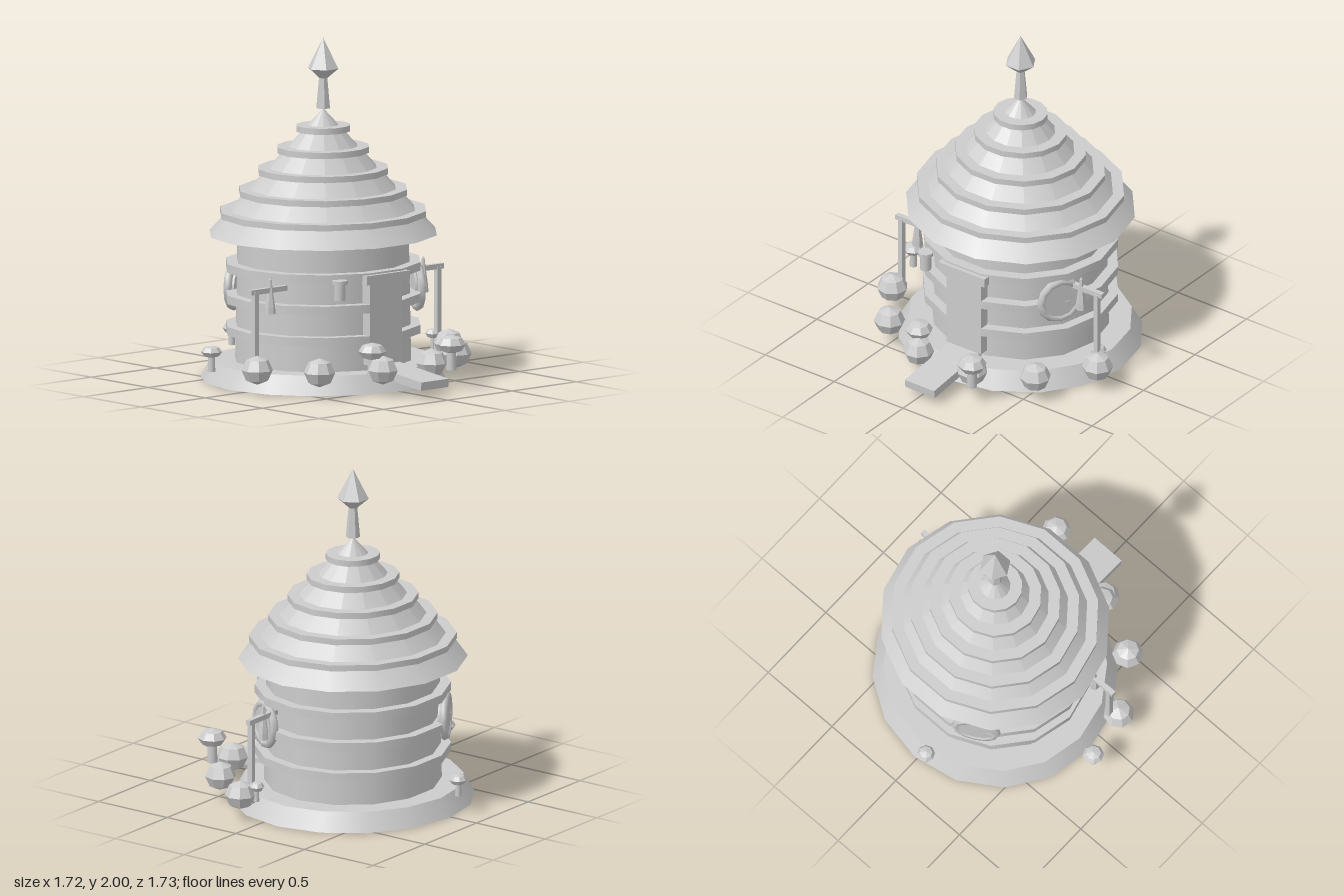
import * as THREE from 'three';

export function createModel() {
  const model = new THREE.Group();
  const plain = new THREE.MeshStandardMaterial({ color: 0xcccccc });
  plain.name = 'plainGrey';

  function add(parent, name, geometry, x = 0, y = 0, z = 0) {
    const mesh = new THREE.Mesh(geometry, plain);
    mesh.name = name;
    mesh.position.set(x, y, z);
    parent.add(mesh);
    return mesh;
  }
  // faceted copy of a geometry
  function facet(geometry) {
    const flat = geometry.toNonIndexed();
    flat.computeVertexNormals();
    return flat;
  }
  // upright tapered drum between two heights, with a corner on the x axis
  function drum(parent, name, rTop, rBottom, y0, y1, sides, x = 0, z = 0) {
    const g = new THREE.CylinderGeometry(rTop, rBottom, y1 - y0, sides, 1, false, Math.PI / 2);
    return add(parent, name, g, x, (y0 + y1) / 2, z);
  }

  // round hut, slightly wider than deep
  const hut = new THREE.Group();
  hut.name = 'hut';
  hut.position.set(0.02, 0, -0.115);
  hut.scale.z = 0.963;
  model.add(hut);
  drum(hut, 'base', 0.665, 0.728, 0, 0.11, 16);
  drum(hut, 'wall', 0.516, 0.53, 0.1, 0.86, 14);
  for (const y of [0.27, 0.455, 0.64]) drum(hut, 'wallBand', 0.585, 0.585, y, y + 0.05, 14);

  // stepped conical roof
  drum(hut, 'roof', 0, 0.685, 0.85, 1.585, 14);
  for (let i = 0; i < 5; i++) {
    const r = 0.62 - i * 0.1145, y = 0.955 + i * 0.124;
    drum(hut, 'roofRing', r, r, y, y + 0.036, 14);
  }

  // finial
  const finial = new THREE.Group();
  finial.name = 'finial';
  finial.position.set(0.02, 0, -0.115);
  model.add(finial);
  for (const [name, rt, rb, y0, y1] of [
    ['finialStem', 0.025, 0.042, 1.585, 1.77],
    ['finialLowerGem', 0.093, 0.022, 1.76, 1.82],
    ['finialTip', 0, 0.093, 1.82, 2]]) {
    const part = drum(finial, name, rt, rb, y0, y1, 6);
    part.geometry = facet(part.geometry);
  }

  // door, lintel and ramp
  add(model, 'door', new THREE.BoxGeometry(0.25, 0.48, 0.07), 0.02, 0.385, 0.402);
  add(model, 'lintel', new THREE.BoxGeometry(0.335, 0.055, 0.045), 0.02, 0.652, 0.436);
  const ramp = add(model, 'ramp', new THREE.BoxGeometry(0.213, 0.05, 0.46), 0.02, 0.097, 0.635);
  ramp.rotation.x = 0.11;

  // round windows, given by position and facing
  for (const [x, y, z, angle] of [[0.51, 0.515, 0.155, 1.08], [-0.255, 0.51, -0.585, 3.66]]) {
    const win = new THREE.Group();
    win.name = 'window';
    win.position.set(x, y, z);
    win.rotation.y = angle;
    add(win, 'windowFrame', new THREE.TorusGeometry(0.122, 0.025, 6, 12));
    const pane = add(win, 'windowPane', new THREE.CylinderGeometry(0.11, 0.11, 0.05, 12), 0, 0, -0.01);
    pane.rotation.x = Math.PI / 2;
    model.add(win);
  }

  // posts with arms and hanging lanterns
  const hangProfile = [[0, 0.46], [0.032, 0.46], [0.03, 0.5], [0.016, 0.6], [0.009, 0.66], [0, 0.675]]
    .map(([r, y]) => new THREE.Vector2(r, y));
  for (const [post, arm, lantern] of [[0.73, 0.63, 0.615], [-0.69, -0.59, -0.575]]) {
    add(model, 'post', new THREE.BoxGeometry(0.03, 0.5, 0.03), post, 0.35, 0.09);
    add(model, 'postArm', new THREE.BoxGeometry(0.28, 0.03, 0.03), arm, 0.6, 0.085);
    add(model, 'hangingLantern', facet(new THREE.LatheGeometry(hangProfile, 6)), lantern, 0, 0.09);
  }

  // lantern beside the door
  drum(model, 'wallLanternBody', 0.034, 0.034, 0.545, 0.65, 8, -0.295, 0.385);
  drum(model, 'wallLanternCap', 0.047, 0.047, 0.64, 0.662, 8, -0.295, 0.385);

  // bushes
  const bush = facet(new THREE.SphereGeometry(0.092, 8, 4));
  for (const [x, z] of [[-0.72, 0.14], [-0.51, 0.45], [-0.17, 0.62],
    [0.215, 0.615], [0.55, 0.45], [0.77, 0.14]]) {
    const b = add(model, 'bush', bush, x, 0.15, z);
    b.scale.y = 0.93;
    b.rotation.y = Math.atan2(x, z);
  }

  // mushrooms: x, z, cap radius, cap centre height, cap half height
  for (const [x, z, r, y, h] of [[-0.205, 0.57, 0.082, 0.257, 0.052], [0.285, 0.71, 0.085, 0.264, 0.055],
    [0.72, 0.06, 0.046, 0.203, 0.032], [-0.8, -0.17, 0.062, 0.23, 0.036], [-0.07, -0.815, 0.053, 0.213, 0.035]]) {
    const mushroom = new THREE.Group();
    mushroom.name = 'mushroom';
    mushroom.position.set(x, 0, z);
    model.add(mushroom);
    drum(mushroom, 'mushroomStem', r * 0.3, r * 0.36, 0.113, y, 8);
    add(mushroom, 'mushroomCap', facet(new THREE.SphereGeometry(1, 8, 4)), 0, y, 0).scale.set(r, h, r);
  }

  return model;
}
